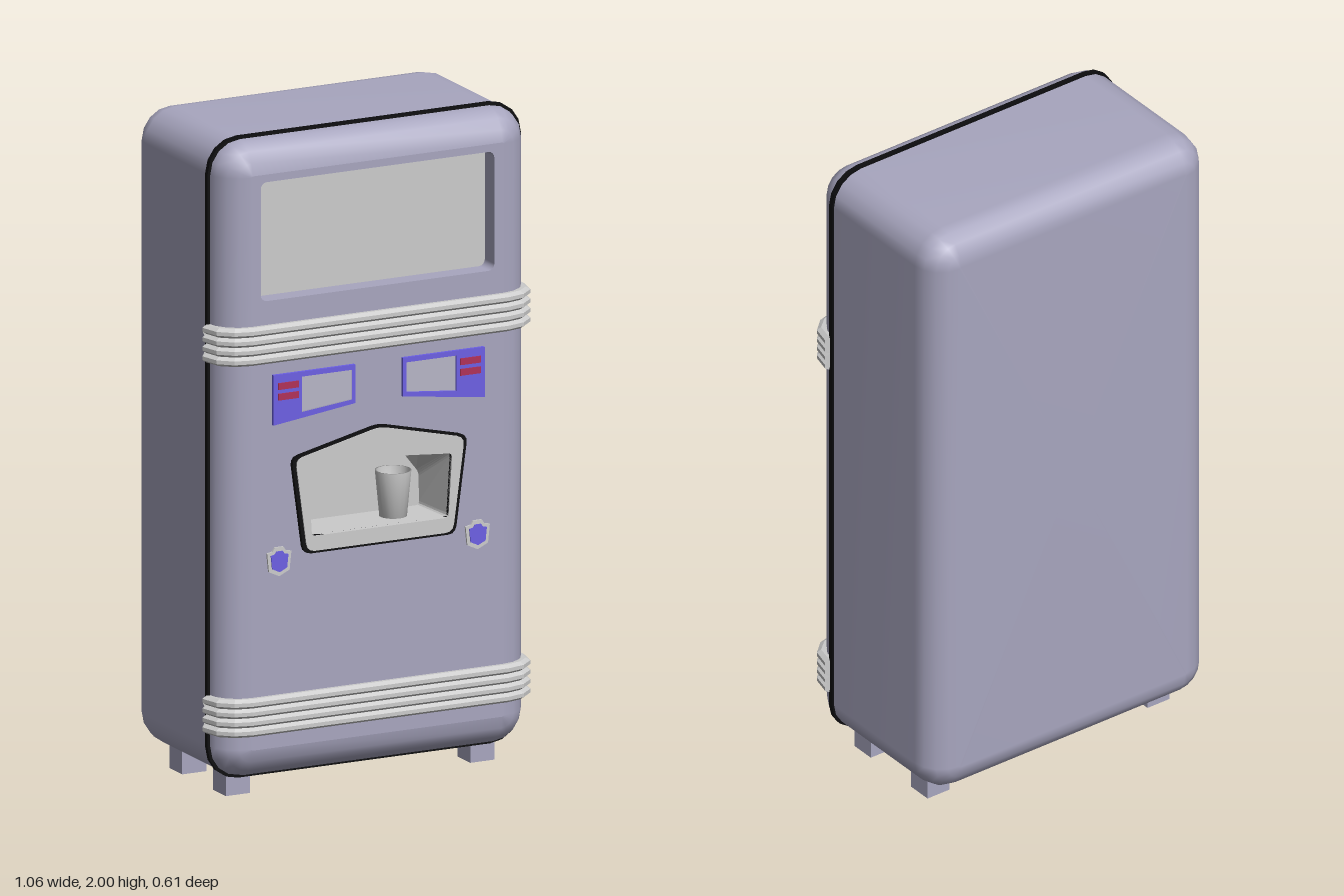
import * as THREE from 'three';

const mat = (color, opts = {}) => new THREE.MeshStandardMaterial({ color, ...opts });
const V2 = (p) => new THREE.Vector2(p[0], p[1]);

// Rounded rectangle outline, counter-clockwise, n segments per corner
function roundRect(hx, hy, r, cy = 0, cx = 0, n = 4) {
  const pts = [];
  [[1, 1], [-1, 1], [-1, -1], [1, -1]].forEach(([sx, sy], q) => {
    for (let i = 0; i <= n; i++) {
      const a = (q + i / n) * Math.PI / 2;
      pts.push(new THREE.Vector2(cx + sx * (hx - r) + r * Math.cos(a), cy + sy * (hy - r) + r * Math.sin(a)));
    }
  });
  return pts;
}

// Polygon outline with softened corners
function softPoly(points, r, n = 3) {
  const p = points.map(V2), out = [];
  p.forEach((c, i) => {
    const a = p[(i + p.length - 1) % p.length].clone().sub(c).setLength(r).add(c);
    const b = p[(i + 1) % p.length].clone().sub(c).setLength(r).add(c);
    out.push(...new THREE.QuadraticBezierCurve(a, c, b).getPoints(n));
  });
  return out;
}

const at = (pts, z) => pts.map((p) => new THREE.Vector3(p.x, p.y, z));
const collapse = (ring, c) => ring.map(() => c.clone());

// Skin through closed rings that have equal point counts
function loft(rings) {
  const n = rings[0].length, pos = [], idx = [];
  rings.forEach((r) => r.forEach((p) => pos.push(p.x, p.y, p.z)));
  for (let i = 0; i < rings.length - 1; i++) {
    for (let j = 0; j < n; j++) {
      const k = (j + 1) % n, a = i * n + j, b = i * n + k, c = a + n, d = b + n;
      idx.push(a, b, c, b, d, c);
    }
  }
  const g = new THREE.BufferGeometry();
  g.setAttribute('position', new THREE.Float32BufferAttribute(pos, 3));
  g.setIndex(idx);
  g.computeVertexNormals();
  return g;
}

function shapeOf(pts, holes = []) {
  const s = new THREE.Shape(pts);
  holes.forEach((h) => s.holes.push(new THREE.Path(h)));
  return s;
}

export function createModel() {
  const root = new THREE.Group();
  const grey = mat(0xcccccc), greyFlat = mat(0xcccccc, { flatShading: true, side: THREE.DoubleSide });
  const paint = mat(0xa8a6bf), black = mat(0x0c0c0e), blue = mat(0x6c60e4), red = mat(0xb03058);

  const add = (name, geo, material, parent = root) => {
    const m = new THREE.Mesh(geo, material);
    m.name = name;
    parent.add(m);
    return m;
  };
  const slab = (name, pts, z, depth, material, holes = [], parent = root) => {
    const g = new THREE.ExtrudeGeometry(shapeOf(pts, holes), { depth, bevelEnabled: false });
    return add(name, g.translate(0, 0, z), material, parent);
  };
  const flat = (name, pts, z, material, holes = []) =>
    add(name, new THREE.ShapeGeometry(shapeOf(pts, holes)).translate(0, 0, z), material);

  // Cabinet shell with rounded front and back edges
  const HX = 0.51, HY = 0.964, CY = 1.029, R = 0.095, BACK = -0.305, FRONT = 0.28;
  const outline = (d) => roundRect(HX - d, HY - d, R - d + 0.004, CY);
  const rings = [];
  for (let i = 0; i <= 4; i++) {
    const a = i / 4 * Math.PI / 2;
    rings.push(at(outline(R * (1 - Math.sin(a))), BACK + R * (1 - Math.cos(a))));
  }
  for (let i = 0; i <= 4; i++) {
    const a = i / 4 * Math.PI / 2;
    rings.push(at(outline(R * (1 - Math.cos(a))), FRONT - R * (1 - Math.sin(a))));
  }
  rings.unshift(collapse(rings[0], new THREE.Vector3(0, CY, BACK)));
  add('cabinetShell', loft(rings), paint);

  // Front panel, open at the display window and the dispenser
  const windowEdge = roundRect(0.385, 0.18, 0.02, 1.695);
  const mouth = softPoly([[-0.225, 0.79], [0.225, 0.79], [0.237, 0.983], [0.12, 0.993],
    [0, 1.003], [-0.12, 0.993], [-0.237, 0.983]], 0.012);
  flat('frontPanel', outline(R), FRONT, paint, [windowEdge, mouth]);

  // Recessed display window
  add('windowRecess', loft([at(windowEdge, FRONT), at(windowEdge, FRONT - 0.06)]), paint);
  flat('displayWindow', windowEdge, FRONT - 0.06, grey);

  // Door gasket
  const gasketHole = roundRect(HX - 0.02, HY - 0.02, R - 0.02, CY);
  slab('doorGasket', roundRect(HX + 0.006, HY + 0.006, R + 0.006, CY), 0.18, 0.016, black, [gasketHole]);

  // Ribbed trim bands wrapping the front and its corners: x, z, outward x, outward z
  const half = [[0.507, 0.192, 1, 0.05], [0.495, 0.243, 0.9, 0.4], [0.462, 0.27, 0.6, 0.8], [0.418, 0.279, 0.2, 1]];
  const path = [...half, ...half.map(([x, z, nx, nz]) => [-x, z, -nx, nz]).reverse()];
  const RIBS = 4, BAND = 0.115;
  const band = (name, y0) => {
    const profile = [[-0.004, 0]];
    for (let i = 0; i < RIBS; i++) {
      [[0, 0.012], [0.3, 0.025], [0.7, 0.025], [1, 0.012]].forEach(([t, o]) =>
        profile.push([o, (i + t) / RIBS * BAND]));
    }
    profile.push([-0.004, BAND]);
    const sections = path.map(([x, z, nx, nz]) =>
      profile.map(([o, y]) => new THREE.Vector3(x + nx * o, y0 + y, z + nz * o)));
    const end = (s) => collapse(sections[0], new THREE.Vector3(s * 0.512, y0 + BAND / 2, 0.192));
    add(name, loft([end(1), ...sections, end(-1)]), greyFlat);
  };
  band('upperTrimBand', 1.328);
  band('lowerTrimBand', 0.205);

  // Dispenser: black rim, grey frame, cavity
  const frameEdge = (s) => softPoly([[-0.25, 0.737], [0.25, 0.737], [0.29, 1.032], [0, 1.1], [-0.29, 1.032]]
    .map(([x, y]) => [x * s, 0.92 + (y - 0.92) * s]), 0.025);
  slab('dispenserRim', frameEdge(1), FRONT, 0.013, black, [mouth]);
  slab('dispenserFrame', frameEdge(0.96), FRONT, 0.017, grey, [mouth]);
  const cavityBack = softPoly([[-0.215, 0.79], [0.215, 0.79], [0.213, 0.89], [0.16, 0.957],
    [0, 0.967], [-0.16, 0.957], [-0.213, 0.89]], 0.012);
  add('dispenserCavity', loft([at(mouth, FRONT + 0.002), at(cavityBack, 0.13)]), greyFlat);
  flat('dispenserBack', cavityBack, 0.13, grey);

  // Cup standing in the cavity
  const cup = [[0, 0], [0.041, 0], [0.054, 0.138], [0.049, 0.138], [0.038, 0.008], [0, 0.008]].map(V2);
  const cupMesh = add('cup', new THREE.LatheGeometry(cup, 20), mat(0xcccccc, { side: THREE.DoubleSide }));
  cupMesh.position.set(0.085, 0.795, 0.215);

  // Mirrored control panels and coin badges
  for (const s of [-1, 1]) {
    const side = s > 0 ? 'left' : 'right';
    const mir = (pts) => pts.map(([x, y]) => new THREE.Vector2(s * x, y));
    const pane = mir([[0.255, 1.275], [0.09, 1.275], [0.09, 1.185], [0.255, 1.168]]);
    slab(side + 'ControlPanel', mir([[0.348, 1.29], [0.078, 1.29], [0.078, 1.173], [0.348, 1.138]]),
      FRONT, 0.01, blue, [pane]);
    slab(side + 'ControlPane', pane, FRONT, 0.003, mat(0xb6b5c6));
    for (const y of [1.255, 1.223]) {
      const bar = add(side + 'RedBar', new THREE.BoxGeometry(0.068, 0.02, 0.014), red);
      bar.position.set(s * 0.3, y, FRONT + 0.007);
    }

    const shield = (k) => [[-0.034, -0.03], [0, -0.046], [0.034, -0.03], [0.04, 0.026], [0.022, 0.03],
      [0.014, 0.042], [-0.014, 0.042], [-0.022, 0.03], [-0.04, 0.026]]
      .map(([x, y]) => new THREE.Vector2(s * 0.327 + x * k, 0.725 + y * k));
    slab(side + 'BadgePlate', shield(1), FRONT, 0.006, grey);
    slab(side + 'BadgeInsert', shield(0.72), FRONT, 0.009, blue);

    // Feet
    for (const z of [0.13, -0.145]) {
      const foot = add(side + (z > 0 ? 'FrontFoot' : 'BackFoot'), new THREE.BoxGeometry(0.08, 0.09, 0.08), paint);
      foot.position.set(s * 0.403, 0.045, z);
    }
  }
  return root;
}
